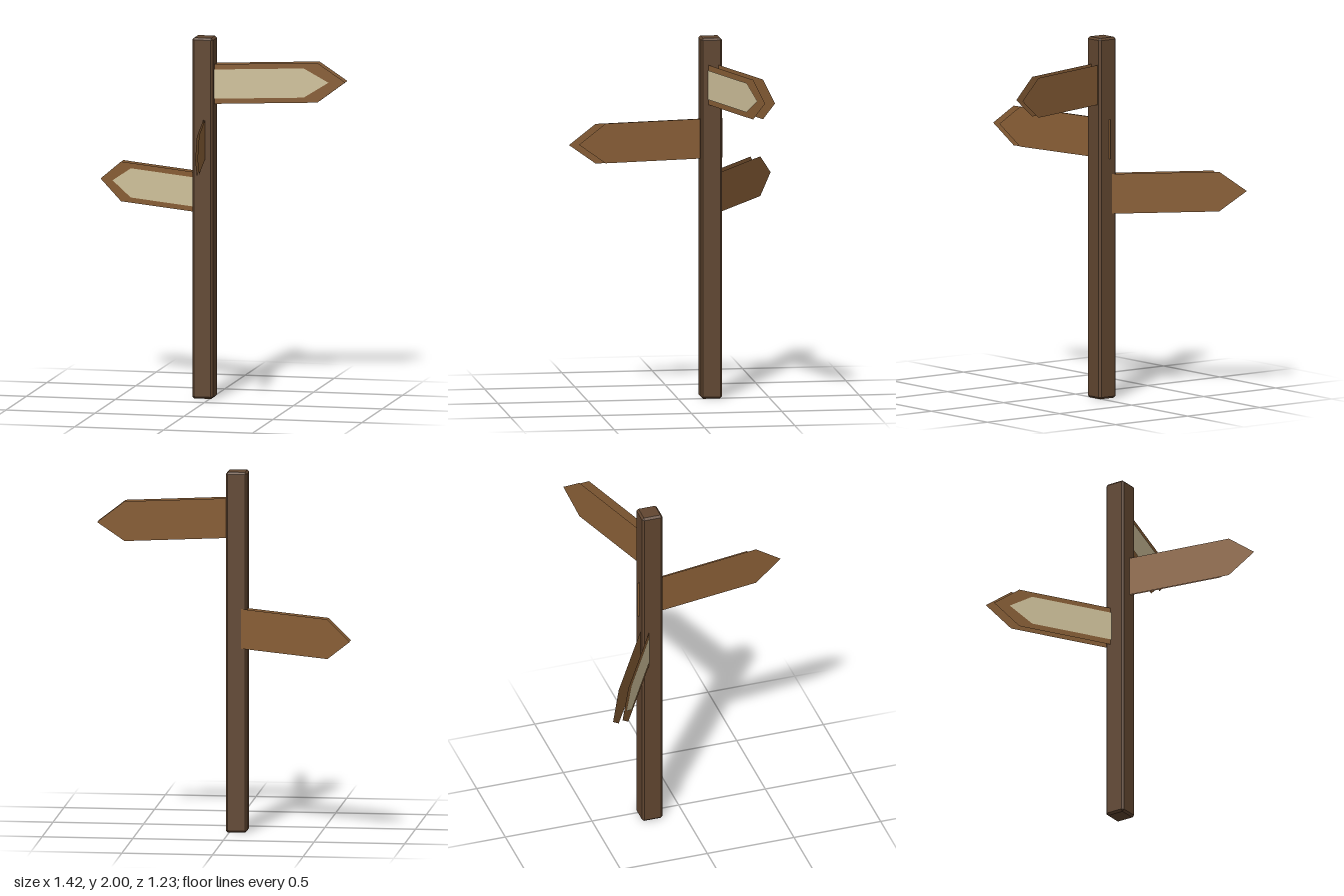
import * as THREE from 'three';
import { ConvexGeometry } from 'three/addons/geometries/ConvexGeometry.js';

// Box with all edges cut at 45 degrees
function chamferedBox(hx, hy, hz, c) {
  const points = [];
  for (const sx of [-1, 1]) for (const sy of [-1, 1]) for (const sz of [-1, 1]) {
    for (const [a, b, d] of [[0, c, c], [c, 0, c], [c, c, 0]]) {
      points.push(new THREE.Vector3(sx * (hx - a), sy * (hy - b), sz * (hz - d)));
    }
  }
  return new ConvexGeometry(points);
}

// Flat arrow outline running along +x
function arrowGeometry(start, shoulder, tip, half) {
  const s = new THREE.Shape();
  s.moveTo(start, -half);
  s.lineTo(shoulder, -half);
  s.lineTo(tip, 0);
  s.lineTo(shoulder, half);
  s.lineTo(start, half);
  s.closePath();
  return new THREE.ShapeGeometry(s);
}

export function createModel() {
  const model = new THREE.Group();
  model.name = 'signpost';

  const postWood = new THREE.MeshStandardMaterial({ color: 0x614630 });
  postWood.name = 'dark post wood';
  const boardWood = new THREE.MeshStandardMaterial({ color: 0x8b6037, side: THREE.DoubleSide });
  boardWood.name = 'board wood';
  const cream = new THREE.MeshStandardMaterial({ color: 0xd5c69f, side: THREE.DoubleSide });
  cream.name = 'cream panel';

  // Post
  const post = new THREE.Mesh(chamferedBox(0.0585, 1, 0.0585, 0.011), postWood);
  post.name = 'post';
  post.position.set(-0.04, 1, -0.182);
  model.add(post);

  const boardShape = arrowGeometry(0, 0.674, 0.827, 0.11);
  const panelShape = arrowGeometry(0.08, 0.6, 0.736, 0.081);

  // Each board is a pair of open sheets set apart in depth; some carry a cream panel
  const boards = [
    { name: 'upperSign', x: -0.085, y: 1.742, z: -0.133, dir: [0.955, -0.296], panel: true },
    { name: 'middleSign', x: -0.046, y: 1.438, z: -0.197, dir: [0.165, 0.986], panel: false },
    { name: 'lowerSign', x: 0.005, y: 1.133, z: -0.145, dir: [-0.866, -0.5], panel: true },
  ];
  for (const b of boards) {
    const sign = new THREE.Group();
    sign.name = b.name;
    sign.position.set(b.x, b.y, b.z);
    const addSheet = (name, geometry, material, depth) => {
      const sheet = new THREE.Mesh(geometry, material);
      sheet.name = name;
      sheet.rotation.y = Math.atan2(-b.dir[1], b.dir[0]);
      sheet.position.z = depth;
      sign.add(sheet);
    };
    addSheet('frontSheet', boardShape, boardWood, 0);
    addSheet('backSheet', boardShape, boardWood, -0.055);
    if (b.panel) addSheet('creamPanel', panelShape, cream, 0.004);
    model.add(sign);
  }
  return model;
}
